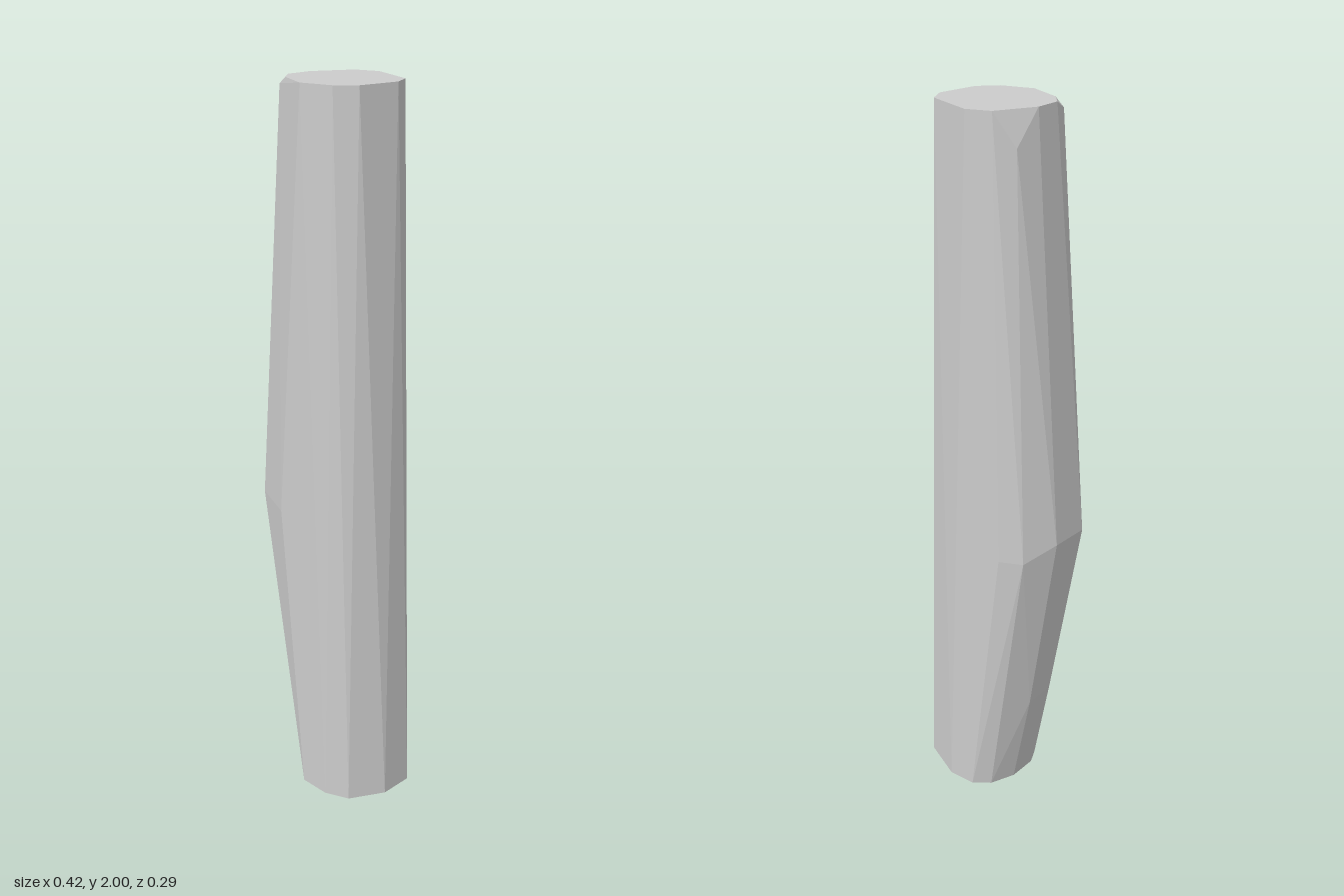
import * as THREE from 'three';
import { ConvexGeometry } from 'three/addons/geometries/ConvexGeometry.js';

// Corner ring of [x, z] pairs at one height
const ring = (y, corners) => corners.map(([x, z]) => new THREE.Vector3(x, y, z));

export function createModel() {
  const group = new THREE.Group();
  group.name = 'facetedPillar';

  const points = [
    // flat top
    ...ring(2, [[-0.06, -0.123], [0.005, -0.145], [0.14, -0.095], [0.165, -0.042], [0.142, 0.07],
      [0.096, 0.115], [0.007, 0.138], [-0.088, 0.095], [-0.124, 0.052], [-0.121, -0.02]]),
    // small chipped corners under the top
    new THREE.Vector3(-0.122, 1.98, 0.083),
    new THREE.Vector3(-0.107, 1.91, -0.087),
    // bulge on one side
    ...ring(0.84, [[-0.212, 0.079], [-0.207, -0.034], [-0.08, 0.14]]),
    ...ring(0.8, [[-0.157, -0.118], [-0.094, -0.145]]),
    // lower taper
    ...ring(0.29, [[-0.123, 0.06], [-0.123, -0.035]]),
    // flat foot
    ...ring(0, [[0.09, -0.138], [0.21, -0.077], [0.211, 0.02], [0.157, 0.115], [0.09, 0.142],
      [0, 0.14], [-0.048, 0.095], [-0.068, 0.05], [-0.066, -0.035], [-0.035, -0.105], [0.01, -0.138]]),
  ];

  const pillar = new THREE.Mesh(
    new ConvexGeometry(points),
    new THREE.MeshStandardMaterial({ color: 0xcccccc, flatShading: true })
  );
  pillar.name = 'pillar';
  group.add(pillar);
  return group;
}
